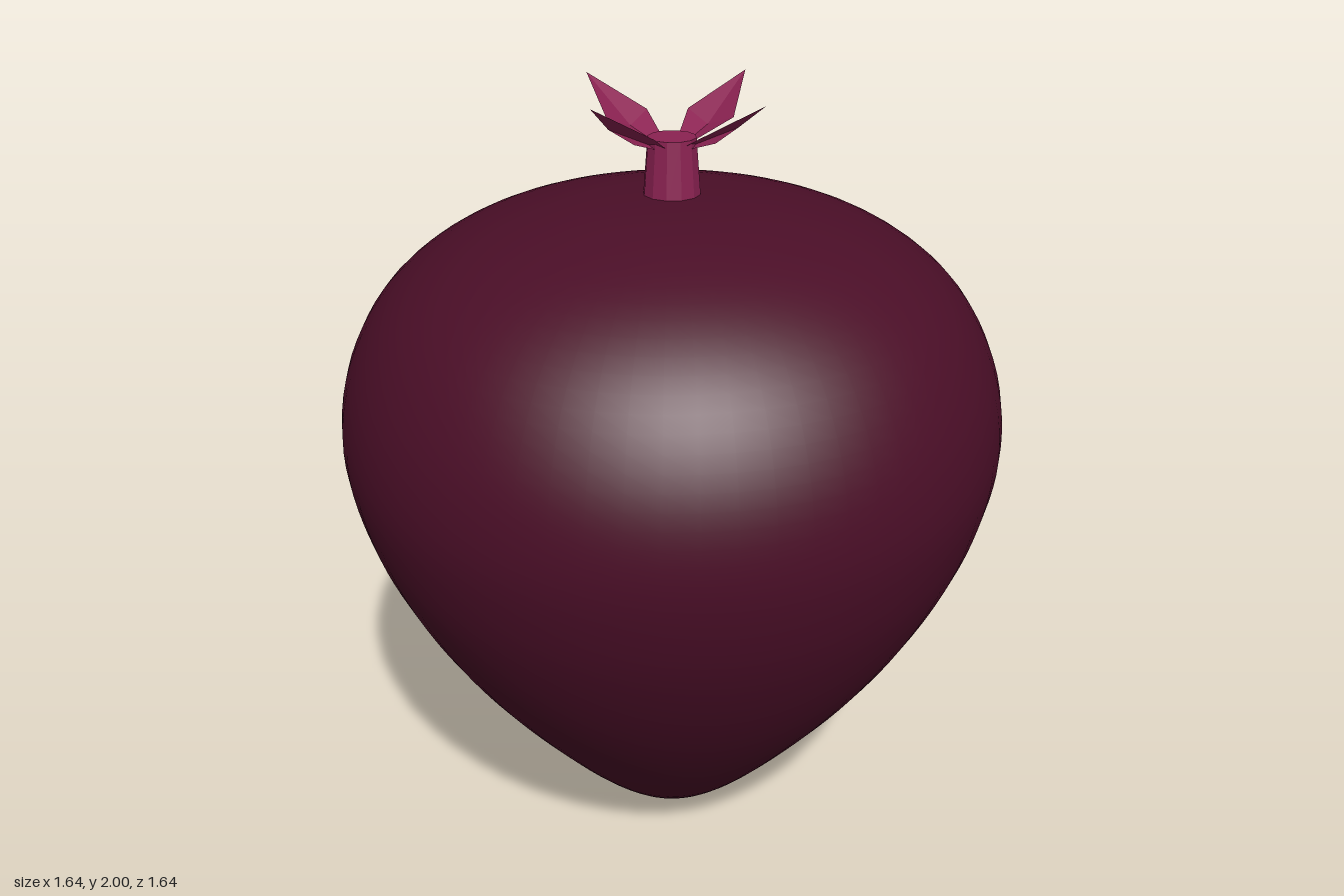
import * as THREE from 'three';

export function createModel() {
  const group = new THREE.Group();
  const skin = new THREE.MeshStandardMaterial({ name: 'dark plum skin', color: 0x4a0e27 });
  const stalk = new THREE.MeshStandardMaterial({ name: 'berry stalk', color: 0x8b2252, flatShading: true });

  // Smooth teardrop body, spun from a spline profile
  const profile = [
    [0, 0], [0.1, 0.025], [0.26, 0.16], [0.46, 0.395], [0.61, 0.605], [0.72, 0.805],
    [0.79, 0.99], [0.82, 1.18], [0.785, 1.37], [0.68, 1.54], [0.5, 1.665], [0.25, 1.74], [0, 1.76],
  ].map(([r, y]) => new THREE.Vector2(r, y));
  const points = new THREE.SplineCurve(profile).getPoints(60);
  points.forEach((p) => { p.x = Math.max(p.x, 0); });
  const body = new THREE.Mesh(new THREE.LatheGeometry(points, 64), skin);
  body.name = 'body';
  group.add(body);

  // Short tapered stem
  const stem = new THREE.Mesh(new THREE.CylinderGeometry(0.058, 0.07, 0.15, 12), stalk);
  stem.name = 'stem';
  stem.position.y = 1.815;
  group.add(stem);

  // Diamond leaf: flat top with a shallow keel underneath
  const inner = [0, 1.85, 0], right = [0.07, 1.92, 0.14], tip = [0, 2, 0.27];
  const left = [-0.07, 1.92, 0.14], keel = [0, 1.895, 0.13];
  const leafGeometry = new THREE.BufferGeometry();
  leafGeometry.setAttribute('position', new THREE.Float32BufferAttribute([
    inner, tip, right, inner, left, tip,
    inner, right, keel, right, tip, keel, tip, left, keel, left, inner, keel,
  ].flat(), 3));
  // Reverse the winding so that every face points outward
  leafGeometry.setIndex([0, 1, 2, 3, 4, 5, 6, 7, 8, 9, 10, 11, 12, 13, 14, 15, 16, 17]
    .map((v, i, a) => a[i - (i % 3) + 2 - (i % 3)]));
  leafGeometry.computeVertexNormals();

  // Four leaves around the stem
  for (let i = 0; i < 4; i++) {
    const leaf = new THREE.Mesh(leafGeometry, stalk);
    leaf.name = 'leaf' + (i + 1);
    leaf.rotation.y = (i * Math.PI) / 2;
    group.add(leaf);
  }
  return group;
}
